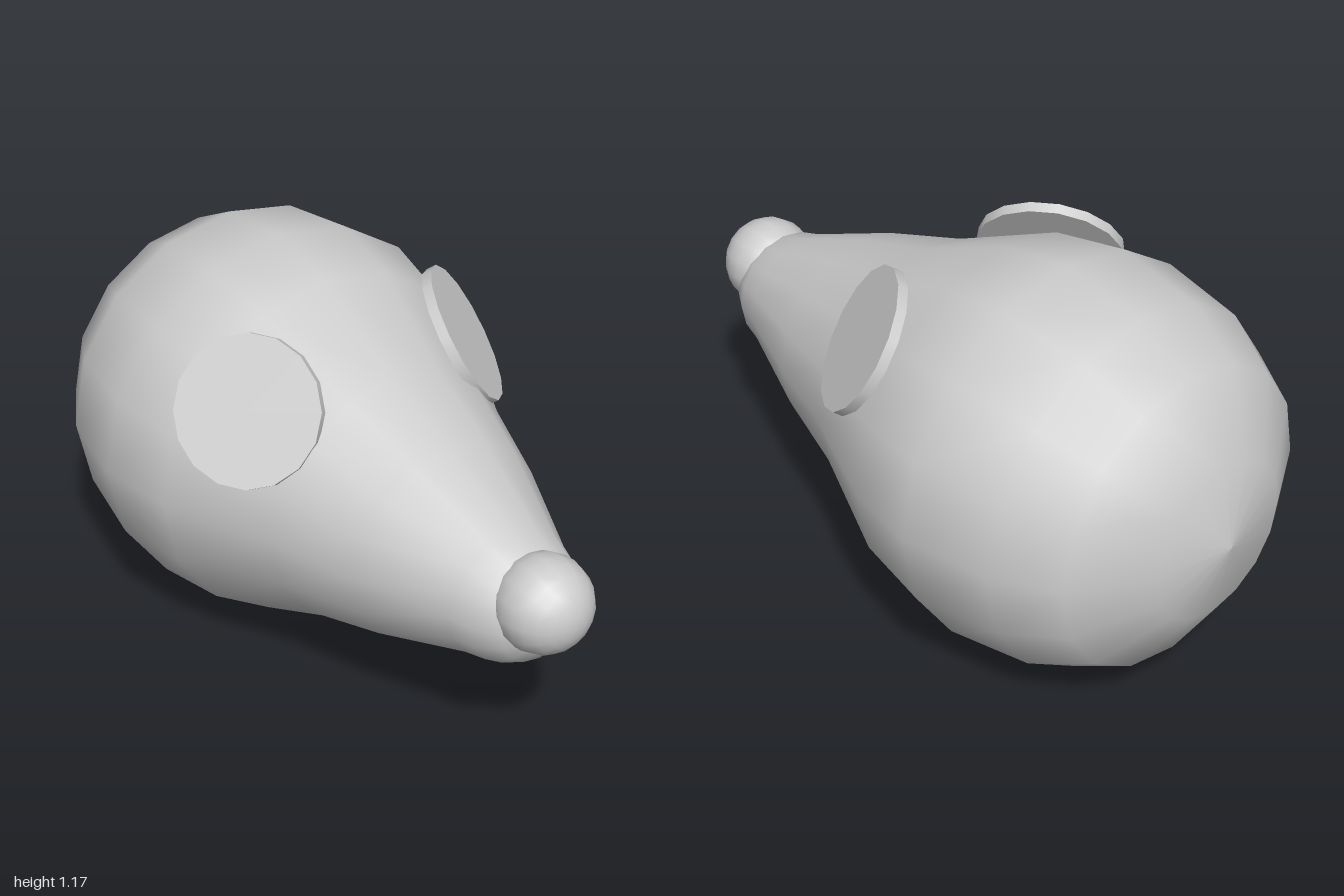
import * as THREE from 'three';

export function createModel() {
  const model = new THREE.Group();
  const grey = new THREE.MeshStandardMaterial({ color: 0xcccccc });
  grey.name = 'light grey';

  const add = (name, geometry, position) => {
    const mesh = new THREE.Mesh(geometry, grey);
    mesh.name = name;
    mesh.position.copy(position);
    model.add(mesh);
    return mesh;
  };

  // Pear-shaped body: [radius, z] from the round rear to the snout
  const profile = [
    [0, -1], [0.235, -0.955], [0.445, -0.825], [0.543, -0.645], [0.587, -0.38],
    [0.543, -0.145], [0.395, 0.18], [0.31, 0.44], [0.195, 0.72], [0.175, 0.79],
    [0.13, 0.86], [0.075, 0.89], [0, 0.9],
  ].map(([r, z]) => new THREE.Vector2(r, z));
  const body = new THREE.LatheGeometry(profile, 16);
  body.rotateX(Math.PI / 2);
  body.scale(1.01, 1, 1);
  add('body', body, new THREE.Vector3(0, 0.586, 0));

  // Ball nose
  const nose = new THREE.SphereGeometry(0.137, 16, 12);
  nose.rotateX(Math.PI / 2);
  add('nose', nose, new THREE.Vector3(0, 0.64, 0.863));

  // Disc ears lying against the upper sides
  for (const side of [1, -1]) {
    const ear = add(side > 0 ? 'leftEar' : 'rightEar',
      new THREE.CylinderGeometry(0.213, 0.213, 0.03, 16),
      new THREE.Vector3(side * 0.36, 0.915, 0.02));
    const outward = new THREE.Vector3(side * 0.7, 0.5, 0.5).normalize();
    ear.quaternion.setFromUnitVectors(new THREE.Vector3(0, 1, 0), outward);
  }

  return model;
}
